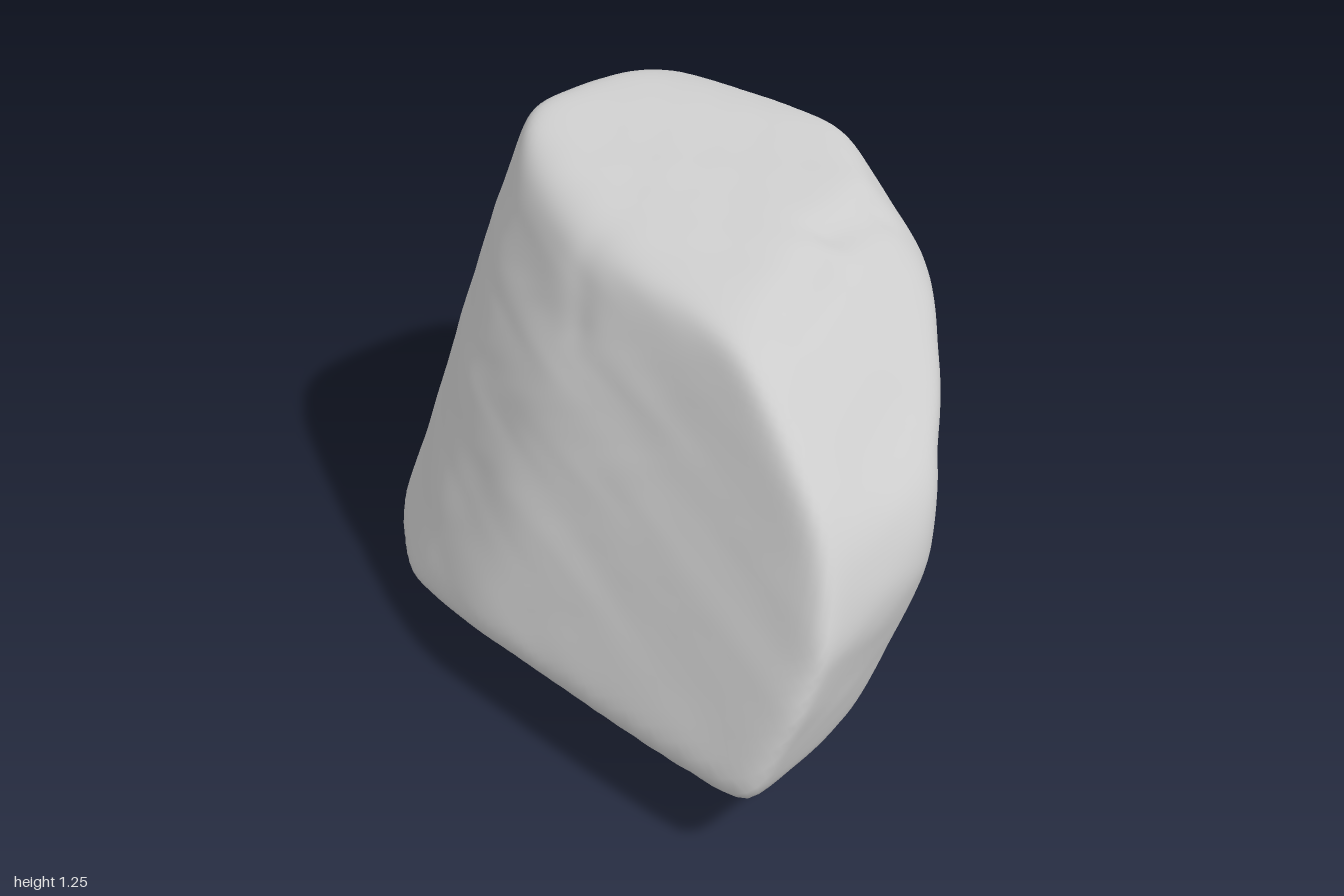
import * as THREE from 'three';
import { mergeVertices } from 'three/addons/utils/BufferGeometryUtils.js';

const V = (x, y, z) => new THREE.Vector3(x, y, z);
const CENTRE = V(0, 0.58, 0);

// Facets of the boulder: outward direction, then a point on the facet
const FACETS = [
  [V(0, 0.43, 0.9), V(0.4, 0.55, 0.61)],          // broad sloping front
  [V(-0.28, 0.4, 0.87), V(-0.2, 0.2, 0.72)],      // front, turning left
  [V(-0.6, 0.32, 0.74), V(-0.5, 0.2, 0.58)],      // front left
  [V(-0.82, 0.3, 0.5), V(-0.86, 0.2, 0.24)],      // left front corner
  [V(-0.93, 0.32, -0.1), V(-0.8, 0.92, -0.2)],    // left side
  [V(-0.95, -0.3, 0), V(-1.015, 0.2, -0.2)],      // left undercut
  [V(-0.85, 0.12, -0.5), V(-0.95, 0.3, -0.39)],   // left back corner
  [V(-0.63, 0.12, -0.77), V(-0.79, 0.5, -0.57)],  // back left
  [V(-0.12, 0.2, -1), V(-0.15, 0.62, -0.79)],     // back
  [V(0.35, 0.15, -0.93), V(0.1, 0.6, -0.75)],     // back, turning right
  [V(0, -0.28, -0.96), V(0, 0.35, -0.73)],        // back undercut
  [V(0.73, -0.05, -0.67), V(0.56, 0.5, -0.32)],   // long back right side
  [V(0.72, -0.38, -0.5), V(0.75, 0.3, -0.04)],    // back right undercut
  [V(0.5, 0.6, -0.6), V(0.31, 1, -0.51)],         // back right upper edge
  [V(0.6, 0.78, -0.15), V(0.65, 0.94, 0.15)],     // upper right slope
  [V(0.9, 0.4, -0.1), V(0.94, 0.7, 0.35)],        // right shoulder
  [V(0.95, -0.3, -0.15), V(0.985, 0.38, 0.6)],    // right end
  [V(0.16, 0.98, 0), V(-0.45, 1.235, -0.2)],      // top
  [V(0, 0.94, -0.32), V(-0.3, 1.2, -0.53)],       // top back edge
  [V(0, 0.88, 0.47), V(-0.3, 1.19, 0.2)],         // top front edge
  [V(-0.7, 0.7, 0), V(-0.68, 1.2, -0.2)],         // top left edge
  [V(0.03, -0.97, 0.22), V(0.2, 0.06, 0.45)],     // base, front
  [V(0, -0.75, 0.66), V(0.3, 0.13, 0.73)],        // base front edge
  [V(0.15, -0.98, 0.05), V(0.8, 0.1, 0.4)],       // base, right
  [V(-0.04, -1, -0.03), V(-0.3, 0.01, -0.1)],     // base
].map(([n, p]) => ({ n, h: n.dot(p.clone().sub(CENTRE)) }));

// Chips and grooves: segment ends, radius, depth
const DENTS = [
  [V(0.29, 1.1, -0.42), V(0.31, 1.1, -0.22), 0.07, 0.025],
  [V(0.38, 1.08, -0.08), V(0.47, 1.03, 0.15), 0.06, 0.015],
  [V(0.74, 0.84, 0), V(0.8, 0.8, 0.2), 0.1, 0.018],
  [V(-0.05, 1.08, 0.28), V(0.02, 0.95, 0.38), 0.05, 0.01],
  [V(0.75, 0.62, -0.05), V(0.7, 0.5, -0.1), 0.1, 0.015],
  [V(0.45, 0.55, -0.4), V(0.4, 0.3, -0.4), 0.12, 0.018],
  [V(-0.38, 1, -0.7), V(-0.42, 0.55, -0.75), 0.09, 0.025],
  [V(-0.7, 0.6, -0.6), V(-0.6, 0.2, -0.65), 0.1, 0.018],
].map(([a, b, radius, depth]) => ({ line: new THREE.Line3(a, b), radius, depth }));

// Gentle layered waves for weathered stone
function weathering(p) {
  let sum = 0;
  for (let i = 0, f = 5, a = 0.005; i < 4; i++, f *= 1.8, a *= 0.5) {
    const w = Math.sin(f * p.y + i * 2.1) * 1.3;
    sum += a * Math.sin(f * p.x + w + i) * Math.cos(f * 0.9 * p.z - w + 1.7 * i);
    sum += a * 0.7 * Math.sin(f * (0.6 * p.x + 1.1 * p.y - 0.7 * p.z) + 3 * i);
  }
  return sum;
}

// Distance to the facets along a direction, with rounded edges
function reach(d) {
  const k = 32;
  let sum = 0;
  for (const { n, h } of FACETS) sum += Math.max(n.dot(d) / h, 0) ** k;
  return sum ** (-1 / k);
}

export function createModel() {
  let geo = new THREE.IcosahedronGeometry(1, 48);
  geo.deleteAttribute('uv');
  geo.deleteAttribute('normal');
  geo = mergeVertices(geo, 1e-5);

  const pos = geo.attributes.position;
  const d = V(0, 0, 0), p = V(0, 0, 0), q = V(0, 0, 0);
  for (let i = 0; i < pos.count; i++) {
    d.fromBufferAttribute(pos, i).normalize();
    p.copy(d).multiplyScalar(reach(d)).add(CENTRE);
    let offset = weathering(p);
    for (const { line, radius, depth } of DENTS) {
      line.closestPointToPoint(p, true, q);
      offset -= depth * Math.exp(-((p.distanceTo(q) / radius) ** 2));
    }
    p.addScaledVector(d, offset);
    pos.setXYZ(i, p.x, p.y, p.z);
  }

  // Centre it, standing on the ground
  geo.computeBoundingBox();
  const mid = geo.boundingBox.getCenter(V(0, 0, 0));
  geo.translate(-mid.x, -geo.boundingBox.min.y, -mid.z);
  geo.computeVertexNormals();

  const boulder = new THREE.Mesh(geo, new THREE.MeshStandardMaterial({ color: 0xcccccc }));
  boulder.name = 'boulder';
  const group = new THREE.Group();
  group.name = 'rock';
  group.add(boulder);
  return group;
}
